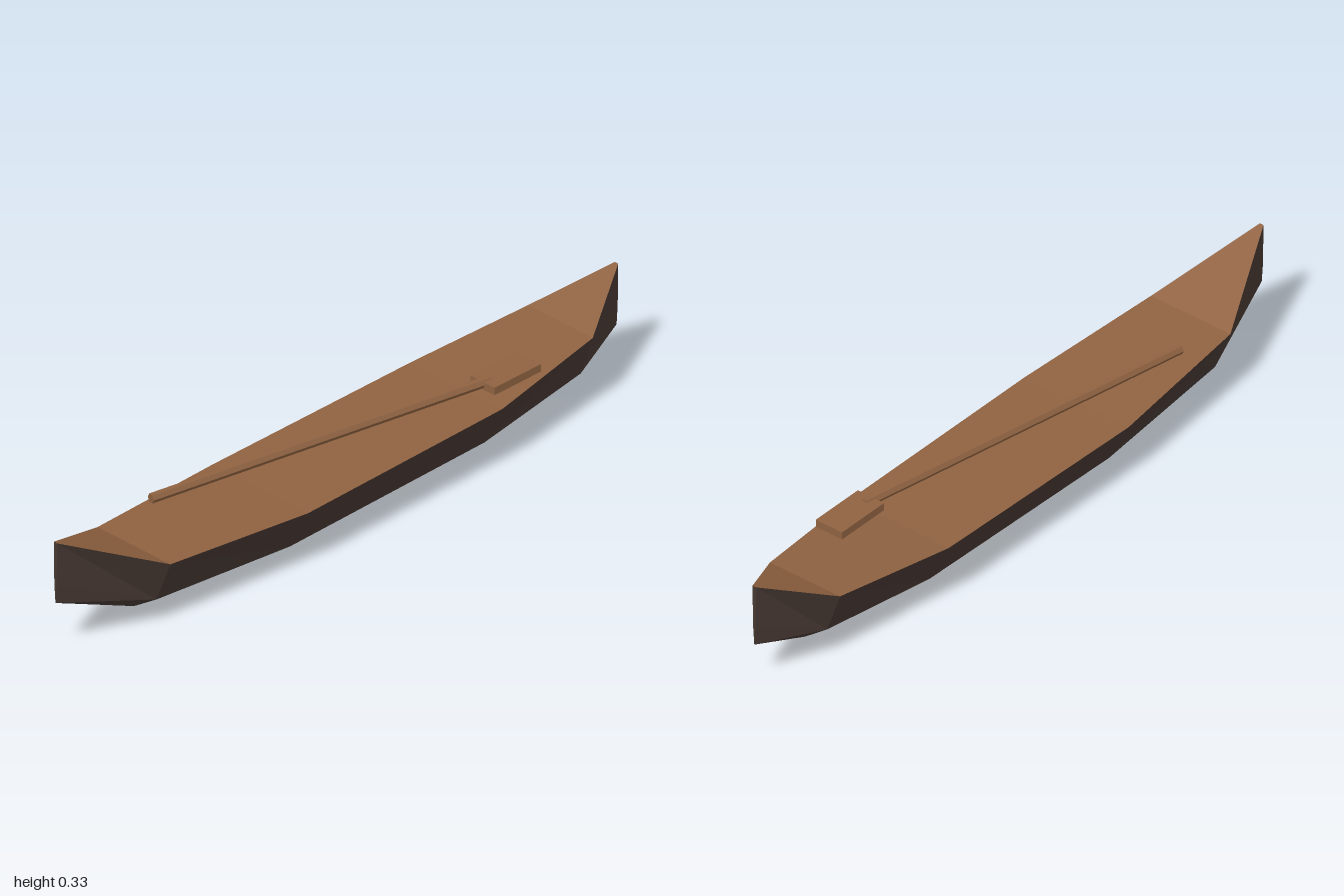
import * as THREE from 'three';

// Hull stations, bow to stern: z, deck half-width, deck y, chine half-width, chine y, keel y
const STATIONS = [
  [1.0, 0.006, 0.332, 0.004, 0.21, 0.155],
  [0.72, 0.13, 0.205, 0.08, 0.081, 0.028],
  [0.27, 0.17, 0.182, 0.106, 0.058, 0.002],
  [-0.43, 0.163, 0.19, 0.1, 0.066, 0.011],
  [-0.8, 0.115, 0.222, 0.072, 0.1, 0.045],
  [-1.0, 0.006, 0.31, 0.004, 0.187, 0.13],
];

function facets(triangles) {
  const geometry = new THREE.BufferGeometry().setFromPoints(triangles.flat());
  geometry.computeVertexNormals();
  return geometry;
}

function part(name, geometry, material, parent) {
  const mesh = new THREE.Mesh(geometry, material);
  mesh.name = name;
  parent.add(mesh);
  return mesh;
}

export function createModel() {
  const darkHull = new THREE.MeshStandardMaterial({ name: 'dark hull wood', color: 0x463832, flatShading: true });
  const wood = new THREE.MeshStandardMaterial({ name: 'brown wood', color: 0x8f6241, flatShading: true });
  const boat = new THREE.Group();
  boat.name = 'canoe';

  // Each ring runs left gunwale, left chine, keel, right chine, right gunwale
  const rings = STATIONS.map(([z, dw, dy, cw, cy, ky]) =>
    [[dw, dy], [cw, cy], [0, ky], [-cw, cy], [-dw, dy]].map(([x, y]) => new THREE.Vector3(x, y, z)));

  // Planking and deck between neighbouring stations
  const planks = [];
  const deck = [];
  for (let i = 0; i < rings.length - 1; i++) {
    const f = rings[i], r = rings[i + 1];
    for (let j = 0; j < 4; j++) {
      const a = f[j], b = f[j + 1], c = r[j + 1], d = r[j];
      if ((j % 2 === 0) === (i < 2)) planks.push([a, b, c], [a, c, d]);
      else planks.push([a, b, d], [b, c, d]);
    }
    deck.push([f[4], f[0], r[0]], [f[4], r[0], r[4]]);
  }

  // Narrow stem and stern faces
  const cap = (p) => [[p[0], p[4], p[3]], [p[0], p[3], p[1]], [p[1], p[3], p[2]]];
  planks.push(...cap(rings[0]), ...cap([...rings[rings.length - 1]].reverse()));

  part('hull', facets(planks), darkHull, boat);
  part('deck', facets(deck), wood, boat);

  // Paddle lying diagonally above the deck
  const paddle = new THREE.Group();
  paddle.name = 'paddle';
  boat.add(paddle);
  const grip = new THREE.Vector3(-0.1, 0.234, 0.56);
  const neck = new THREE.Vector3(0.088, 0.23, -0.46);
  const shaftGeometry = new THREE.CylinderGeometry(0.0135, 0.0135, grip.distanceTo(neck), 6);
  shaftGeometry.rotateY(Math.PI / 6).rotateX(Math.PI / 2);
  const shaft = part('paddleShaft', shaftGeometry, wood, paddle);
  shaft.position.copy(grip).lerp(neck, 0.5);
  shaft.lookAt(grip);

  const blade = part('paddleBlade', new THREE.BoxGeometry(0.086, 0.022, 0.166), wood, paddle);
  blade.position.set(0.088, 0.226, -0.517);

  return boat;
}
